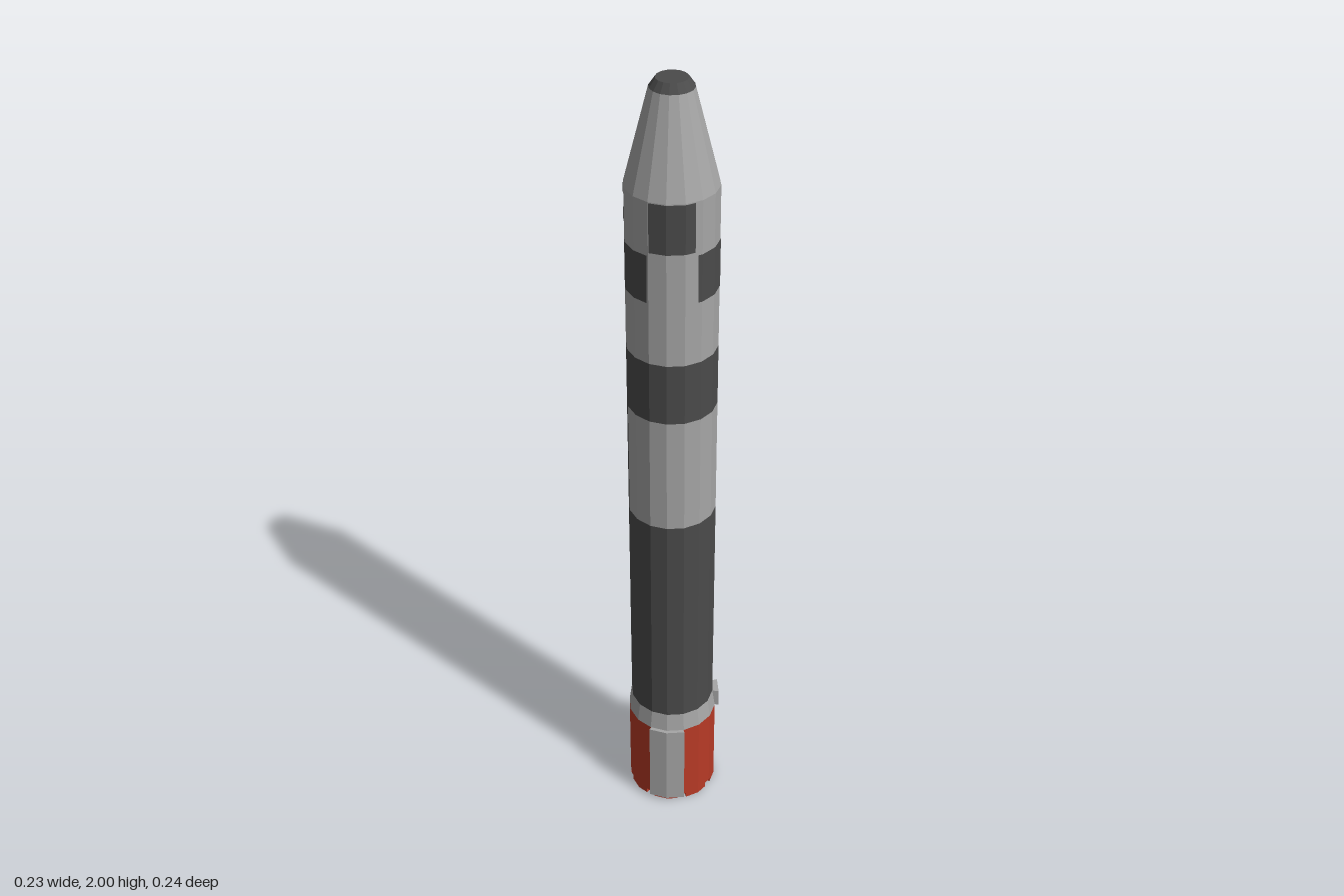
import * as THREE from 'three';

const STEP = 22.5; // sixteen facets
const rad = THREE.MathUtils.degToRad;

export function createModel() {
  const group = new THREE.Group();
  group.name = 'rocket';
  const material = (name, color) => {
    const m = new THREE.MeshStandardMaterial({ color, flatShading: true });
    m.name = name;
    return m;
  };
  const light = material('light grey', 0xa6a6a6);
  const dark = material('charcoal', 0x4b4b4b);
  const red = material('red', 0xb83a26);

  const add = (name, geometry, mat) => {
    const mesh = new THREE.Mesh(geometry, mat);
    mesh.name = name;
    group.add(mesh);
    return mesh;
  };

  // Angles from a to b, broken at every facet corner
  const angles = (a, b) => {
    const list = [a];
    for (let t = (Math.floor(a / STEP) + 1) * STEP; t < b - 0.01; t += STEP) list.push(t);
    list.push(b);
    return list;
  };
  // Point on the sixteen-sided outline; zero degrees faces the front
  const outline = (r, deg) => {
    const off = deg - (Math.floor(deg / STEP) + 0.5) * STEP;
    const d = r * Math.cos(rad(STEP / 2)) / Math.cos(rad(off));
    return [d * Math.sin(rad(deg)), d * Math.cos(rad(deg))];
  };

  // Part of the faceted skin between two heights and two angles
  const skin = (name, mat, y0, y1, r0, r1 = r0, a = 0, b = 360) => {
    const p = [];
    const list = angles(a, b);
    for (let i = 0; i + 1 < list.length; i++) {
      const corner = (r, y, t) => { const [x, z] = outline(r, t); return [x, y, z]; };
      const A = corner(r0, y0, list[i]), B = corner(r0, y0, list[i + 1]);
      const C = corner(r1, y1, list[i + 1]), D = corner(r1, y1, list[i]);
      p.push(...A, ...B, ...C, ...A, ...C, ...D);
    }
    const g = new THREE.BufferGeometry();
    g.setAttribute('position', new THREE.Float32BufferAttribute(p, 3));
    g.computeVertexNormals();
    return add(name, g, mat);
  };

  // Solid block that follows the facets
  const block = (name, mat, y0, y1, r0, r1, a, b) => {
    const list = angles(a, b);
    const at = (r) => (t) => { const [x, z] = outline(r, t); return new THREE.Vector2(x, -z); };
    const shape = new THREE.Shape([...list.map(at(r1)), ...list.reverse().map(at(r0))]);
    const g = new THREE.ExtrudeGeometry(shape, { depth: y1 - y0, bevelEnabled: false });
    g.rotateX(-Math.PI / 2).translate(0, y0, 0);
    return add(name, g, mat);
  };

  // Body, band by band
  const R = 0.106;
  skin('lowerBody', dark, 0.3, 0.905, R);
  skin('lightPanel', light, 0.905, 1.205, R, R, -45, 112.5);
  skin('darkPanel', dark, 0.905, 1.205, R, R, 112.5, 315);
  skin('darkBand', dark, 1.205, 1.36, R, R, -90, 157.5);
  skin('bandGap', light, 1.205, 1.36, R, R, 157.5, 270);
  skin('upperBody', light, 1.36, 1.76, R);

  // Two staggered rows of dark check marks
  for (let i = 0; i < 3; i++) {
    const a = i * 120 + 1;
    skin('upperCheck', dark, 1.64, 1.758, R + 0.001, R + 0.001, a, a + 57);
    skin('lowerCheck', dark, 1.515, 1.632, R + 0.001, R + 0.001, a + 61, a + 117);
  }

  // Nose cone and dark tip
  skin('noseCone', light, 1.76, 1.98, R, 0.05);
  add('noseTip', new THREE.CylinderGeometry(0.036, 0.05, 0.02, 16), dark).position.y = 1.99;

  // Collar with three small blocks at the back
  skin('collar', light, 0.25, 0.3, 0.113, R);
  for (const a of [112.5, 157.5, 202.5]) {
    block('collarBlock', light, 0.25, 0.298, 0.1, 0.123, a + 0.5, a + STEP - 0.5);
  }

  // Red engine skirt, hollow underneath
  const wall = [[0.06, 0.1], [0.06, 0.014], [0.113, 0.014], [0.113, 0.25], [0.1, 0.25]];
  add('engineSkirt', new THREE.LatheGeometry(wall.map(([x, y]) => new THREE.Vector2(x, y)), 16), red);
  const ceiling = add('engineCeiling', new THREE.CircleGeometry(0.062, 16), dark);
  ceiling.rotation.x = Math.PI / 2;
  ceiling.position.y = 0.1;

  // Teeth under the skirt
  for (let a = 0; a < 360; a += 45) {
    block('skirtTooth', red, 0, 0.016, 0.065, 0.113, a + 4, a + 37);
  }

  // Vanes inside the engine opening
  for (let i = 0; i < 4; i++) {
    const vane = add('engineVane', new THREE.BoxGeometry(0.115, 0.07, 0.012), light);
    vane.position.y = 0.063;
    vane.rotation.y = i * Math.PI / 4;
  }
  add('engineCore', new THREE.CylinderGeometry(0.022, 0.022, 0.08, 8), dark).position.y = 0.062;

  // Raised plate at the front of the skirt
  block('skirtPlate', light, 0.012, 0.25, 0.105, 0.122, 0.5, 44.5);

  return group;
}
